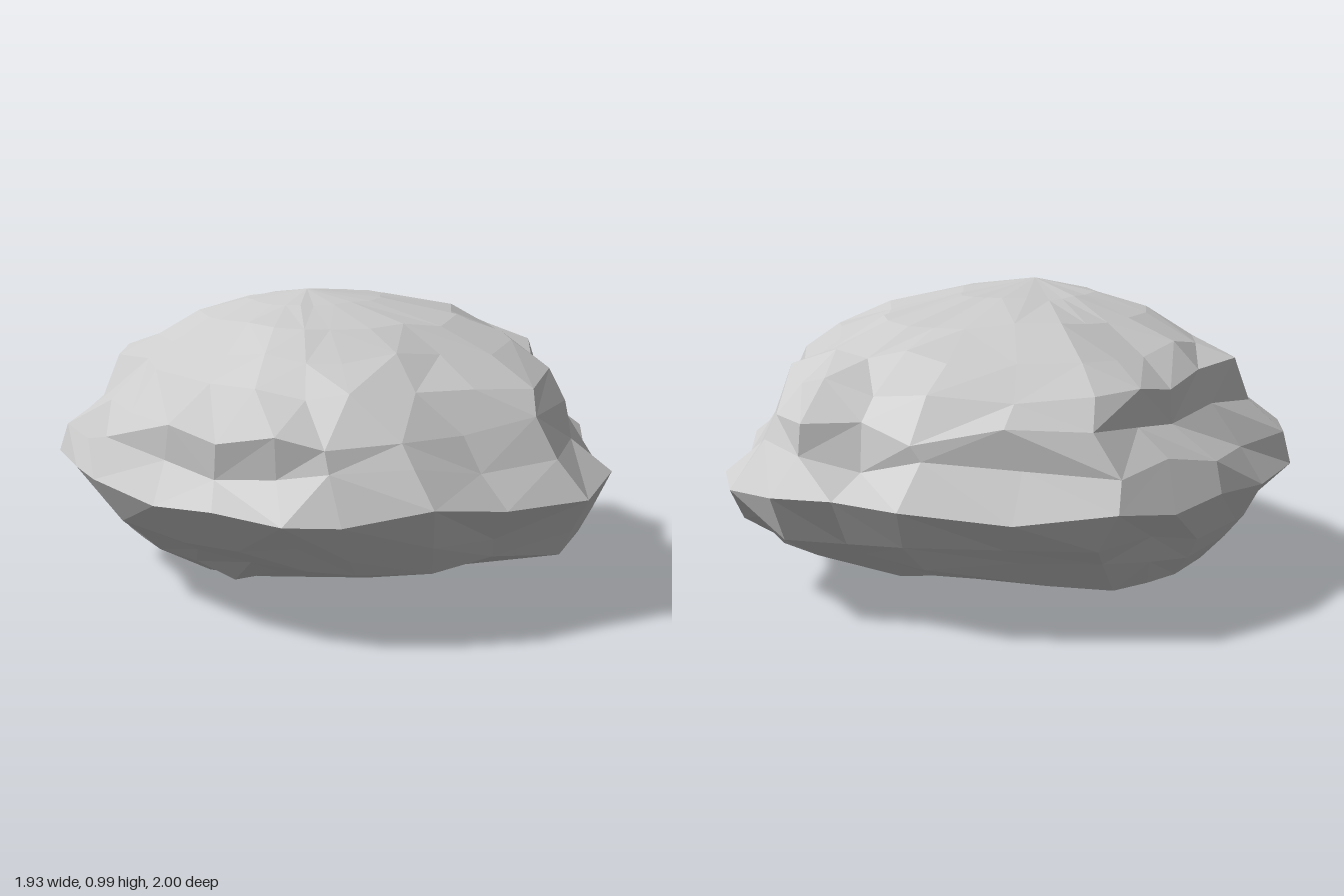
import * as THREE from 'three';

// Plan outline at the widest ridge, as x, z pairs running back, left, front, right
const OUTLINE = [
  [-0.18, -0.97], [0.05, -0.96], [0.24, -1.0], [0.47, -0.89], [0.56, -0.79], [0.66, -0.55],
  [0.77, -0.37], [0.9, -0.16], [0.96, 0.23], [0.8, 0.48], [0.67, 0.71], [0.46, 0.88],
  [0.31, 0.96], [0.1, 1.0], [-0.14, 0.95], [-0.49, 0.78], [-0.66, 0.65], [-0.89, 0.45],
  [-0.96, 0.27], [-0.96, -0.03], [-0.92, -0.3], [-0.85, -0.5], [-0.75, -0.69], [-0.48, -0.83],
];

// Horizontal sections: y, xMin, xMax, zMin, zMax, roughness
const RINGS = [
  [0.055, -0.6, 0.08, -0.26, 0.42, 0.3],
  [0.125, -0.77, 0.5, -0.62, 0.62, 0.6],
  [0.21, -0.85, 0.84, -0.81, 0.78, 0.7],
  [0.29, -0.87, 0.89, -0.92, 0.89, 0.8],
  [0.415, -0.97, 0.96, -1.0, 1.0, 0],
  [0.53, -0.91, 0.84, -0.89, 0.93, 1],
  [0.63, -0.8, 0.77, -0.88, 0.91, 1],
  [0.74, -0.78, 0.73, -0.78, 0.7, 0.9],
  [0.82, -0.67, 0.58, -0.65, 0.58, 0.6],
  [0.9, -0.5, 0.4, -0.48, 0.48, 0.4],
  [0.955, -0.31, 0.15, -0.2, 0.32, 0.2],
];

// Small seeded generator giving -1..1
function makeNoise(seed) {
  return () => {
    seed = (seed * 16807) % 2147483647;
    return (seed / 2147483647) * 2 - 1;
  };
}

function rockGeometry() {
  const noise = makeNoise(4711);
  const n = OUTLINE.length;
  const positions = [];
  const index = [];

  for (const [y, x0, x1, z0, z1, rough] of RINGS) {
    const cx = (x0 + x1) / 2, cz = (z0 + z1) / 2;
    for (const [ox, oz] of OUTLINE) {
      const r = 1 + 0.035 * rough * noise();
      positions.push(
        cx + (ox / 0.96) * ((x1 - x0) / 2) * r,
        y + 0.03 * rough * noise() + (rough ? 0 : 0.025 * noise()),
        cz + oz * ((z1 - z0) / 2) * r,
      );
    }
  }
  const bottom = positions.length / 3;
  positions.push(-0.41, 0, 0.17);
  const top = bottom + 1;
  positions.push(-0.08, 0.99, 0.14);

  // Facets between the rings, with diagonals turned irregularly
  for (let k = 0; k < RINGS.length - 1; k++) {
    for (let i = 0; i < n; i++) {
      const a = k * n + i, b = k * n + ((i + 1) % n);
      const c = a + n, d = b + n;
      if (noise() > 0) index.push(a, c, b, b, c, d);
      else index.push(a, c, d, a, d, b);
    }
  }
  // Underside and crown
  const last = (RINGS.length - 1) * n;
  for (let i = 0; i < n; i++) {
    const j = (i + 1) % n;
    index.push(i, j, bottom);
    index.push(last + i, top, last + j);
  }

  const geometry = new THREE.BufferGeometry();
  geometry.setAttribute('position', new THREE.Float32BufferAttribute(positions, 3));
  geometry.setIndex(index);
  geometry.computeVertexNormals();
  return geometry;
}

export function createModel() {
  const group = new THREE.Group();
  group.name = 'boulder';
  const material = new THREE.MeshStandardMaterial({ color: 0xcccccc, flatShading: true });
  const rock = new THREE.Mesh(rockGeometry(), material);
  rock.name = 'rock';
  group.add(rock);
  return group;
}
